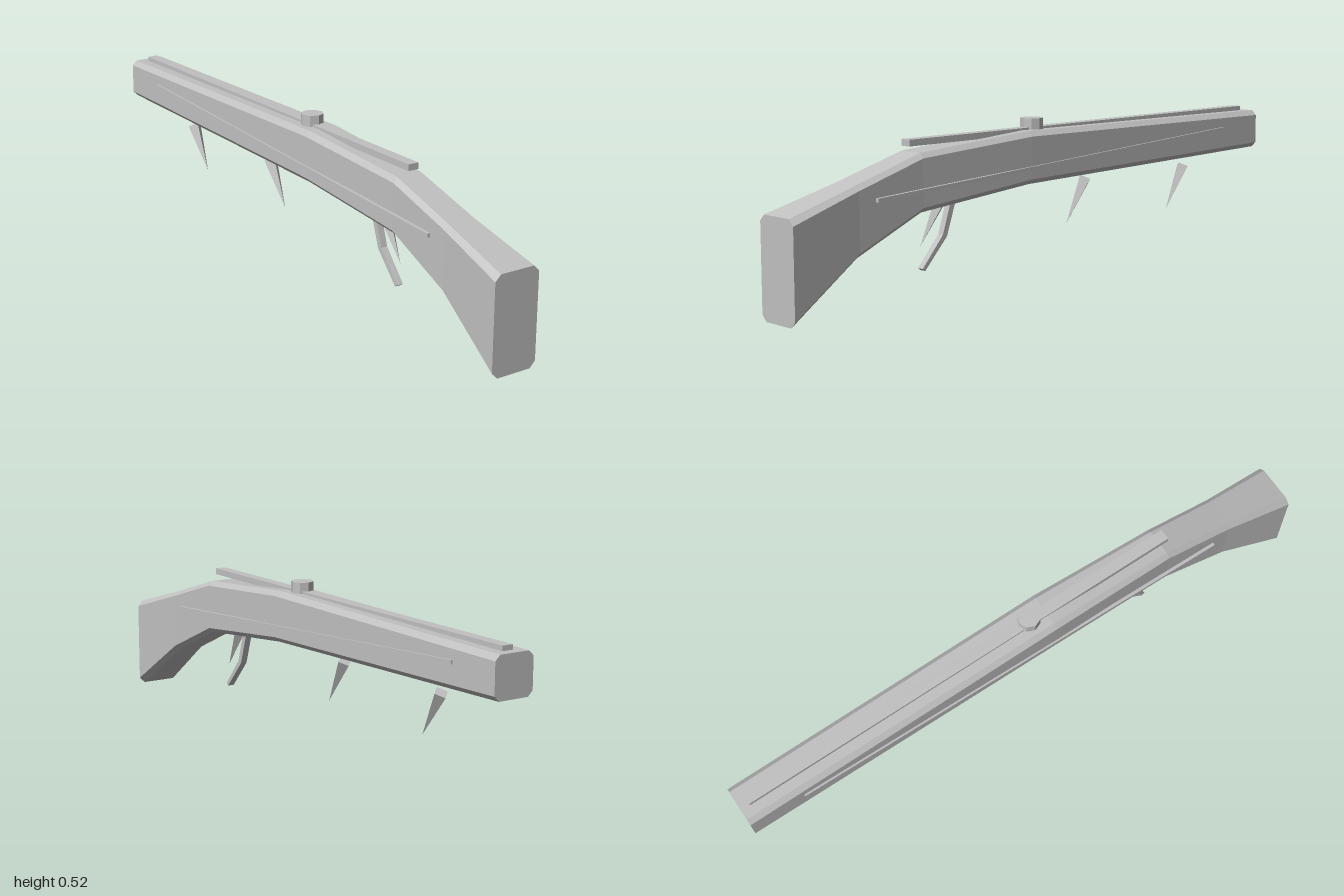
import * as THREE from 'three';

// Faceted solid through cross-sections ordered from back (-z) to front (+z),
// each { z, pts } with pts counter-clockwise seen from the front
function loft(sections) {
  const n = sections[0].pts.length;
  const pos = [];
  const put = (s, i) => pos.push(...s.pts[i % n], s.z);
  for (let k = 0; k < sections.length - 1; k++) {
    const a = sections[k], b = sections[k + 1];
    for (let i = 0; i < n; i++) {
      put(a, i); put(a, i + 1); put(b, i + 1);
      put(a, i); put(b, i + 1); put(b, i);
    }
  }
  const back = sections[0], front = sections[sections.length - 1];
  for (let i = 1; i < n - 1; i++) {
    put(front, 0); put(front, i); put(front, i + 1);
    put(back, 0); put(back, i + 1); put(back, i);
  }
  const g = new THREE.BufferGeometry();
  g.setAttribute('position', new THREE.Float32BufferAttribute(pos, 3));
  g.computeVertexNormals();
  return g;
}

const rect = (z, x0, x1, y0, y1) => ({ z, pts: [[x0, y0], [x1, y0], [x1, y1], [x0, y1]] });

// Rectangle with cut corners, w = half width
function chamfered(z, w, y0, y1, c = 0.016) {
  const i = w - c;
  return { z, pts: [[-i, y0], [i, y0], [w, y0 + c], [w, y1 - c], [i, y1], [-i, y1], [-w, y1 - c], [-w, y0 + c]] };
}

function flat(geometry) {
  const g = geometry.toNonIndexed();
  g.computeVertexNormals();
  return g;
}

export function createModel() {
  const model = new THREE.Group();
  model.name = 'model';
  const grey = new THREE.MeshStandardMaterial({ color: 0xc0c0c0 });
  grey.name = 'light grey';
  const add = (name, geometry) => {
    const mesh = new THREE.Mesh(geometry, grey);
    mesh.name = name;
    model.add(mesh);
    return mesh;
  };

  // Long body flowing into the bent stock
  add('body', loft([
    chamfered(-1, 0.066, 0.35, 0.478),
    chamfered(0.09, 0.066, 0.316, 0.481),
    chamfered(0.52, 0.058, 0.271, 0.447, 0.015),
    chamfered(0.76, 0.061, 0.165, 0.374, 0.015),
    chamfered(1, 0.078, 0, 0.305, 0.019),
  ]));

  // Rail along the top
  add('topRail', loft([
    rect(-0.97, -0.018, 0.018, 0.474, 0.493),
    rect(0.54, -0.018, 0.018, 0.465, 0.485),
  ]));

  // Eight-sided knob on the rail
  const knob = add('knob', flat(new THREE.CylinderGeometry(0.036, 0.036, 0.04, 8)));
  knob.position.set(0, 0.496, 0.03);

  // Slanted strip on each side
  for (const [name, x] of [['leftStrip', 0.067], ['rightStrip', -0.067]]) {
    add(name, loft([
      rect(-0.82, x - 0.005, x + 0.005, 0.42, 0.432),
      rect(0.7, x - 0.005, x + 0.005, 0.321, 0.333),
    ]));
  }

  // Spikes slanting down and forward
  const down = new THREE.Vector3(0, -0.143, 0.085).normalize();
  for (const z of [0.445, -0.165, -0.645]) {
    const spike = add('spike', flat(new THREE.ConeGeometry(0.024, 0.166, 4)));
    spike.quaternion.setFromUnitVectors(new THREE.Vector3(0, 1, 0), down);
    spike.position.set(0, 0.232, z);
  }

  // Bent trigger, outlined in (z, y)
  const outline = [[0.352, 0.3], [0.392, 0.182], [0.478, 0.087], [0.488, 0.094], [0.408, 0.188], [0.372, 0.3]];
  const shape = new THREE.Shape(outline.map(([z, y]) => new THREE.Vector2(z, y)));
  const trigger = new THREE.ExtrudeGeometry(shape, { depth: 0.022, bevelEnabled: false });
  trigger.translate(0, 0, -0.011).rotateY(-Math.PI / 2);
  add('trigger', trigger);

  return model;
}
